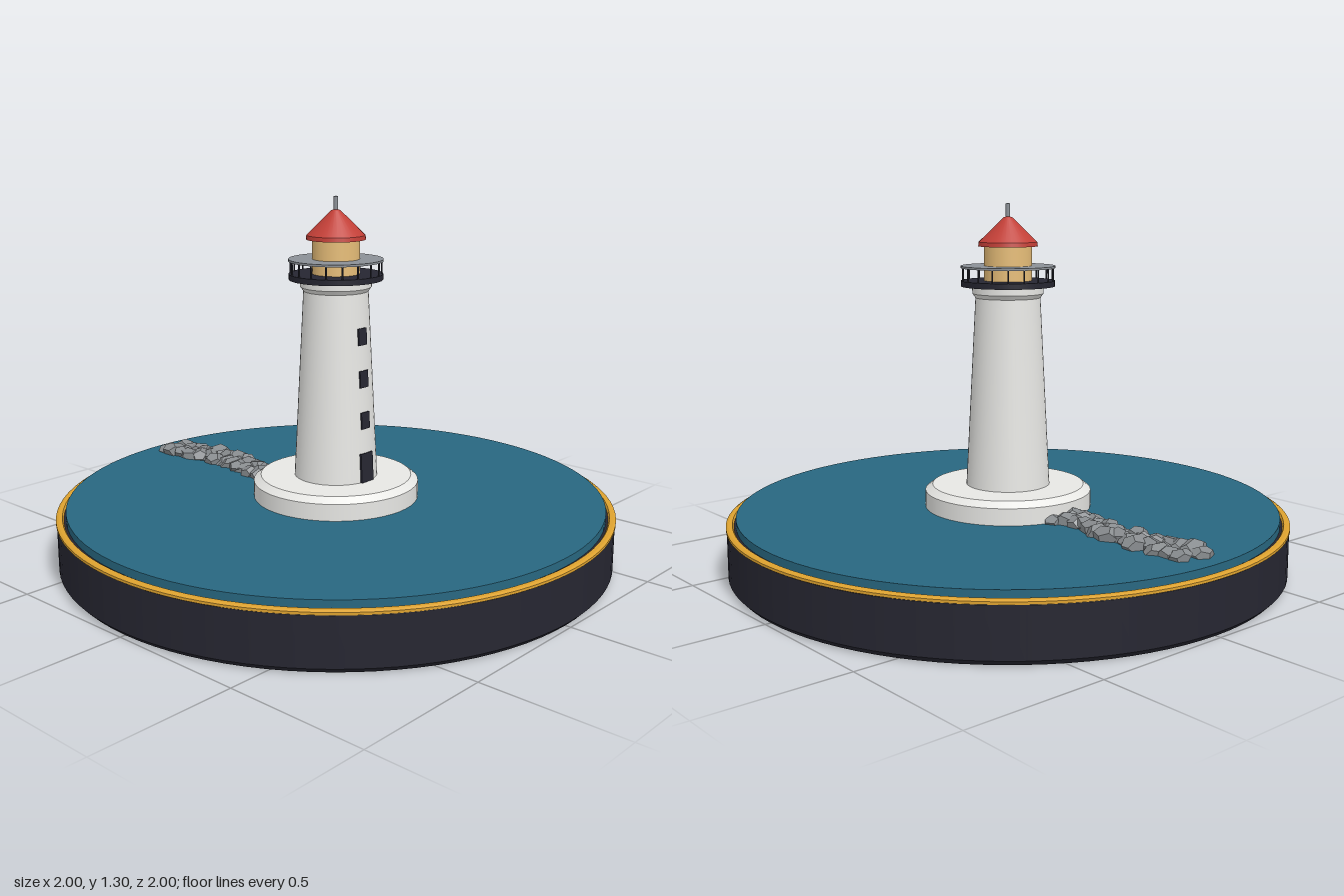
import * as THREE from 'three';

const mat = (name, color, extra = {}) => {
  const m = new THREE.MeshStandardMaterial({ color, ...extra });
  m.name = name;
  return m;
};

export function createModel() {
  const model = new THREE.Group();
  model.name = 'lighthouseDisplay';
  const M = {
    dark: mat('darkNavy', 0x262631),
    gold: mat('goldTrim', 0xdda22f),
    sea: mat('seaBlue', 0x286780),
    white: mat('whitewash', 0xe9e9e6),
    steel: mat('steelGrey', 0x8b9096),
    glow: mat('lanternAmber', 0xe6bd78),
    red: mat('roofRed', 0xc23f37),
    rock: mat('rockGrey', 0x878b8e, { flatShading: true }),
  };

  const add = (name, geo, material, parent = model) => {
    const mesh = new THREE.Mesh(geo, material);
    mesh.name = name;
    parent.add(mesh);
    return mesh;
  };

  // Turned solid; inner profile points are doubled so that edges stay sharp
  const turned = (name, profile, material, segments = 48) => {
    const pts = [];
    profile.forEach(([r, y], i) => {
      pts.push(new THREE.Vector2(r, y));
      if (i > 0 && i < profile.length - 1) pts.push(new THREE.Vector2(r, y));
    });
    return add(name, new THREE.LatheGeometry(pts, segments), material);
  };

  // Round stand, gold rim and water
  turned('stand', [[0, 0], [0.98, 0], [0.997, 0.018], [0.997, 0.185], [0.99, 0.192], [0, 0.192]], M.dark, 96);
  turned('goldRim', [[0.972, 0.19], [1, 0.187], [1, 0.196], [0.992, 0.2], [0.978, 0.2], [0.972, 0.19]], M.gold, 96);
  turned('sea', [[0.965, 0.19], [0.965, 0.22], [0, 0.22]], M.sea, 96);

  // Foundation and tapered tower with a flared collar
  turned('foundation', [[0.298, 0.215], [0.298, 0.28], [0.272, 0.3], [0, 0.3]], M.white);
  turned('tower', [[0.15, 0.295], [0.115, 0.97], [0.126, 0.985], [0.126, 1.012]], M.white);

  // Door and windows lie on the sloping +x side of the tower
  const lean = Math.atan(0.035 / 0.675);
  const opening = (name, y, w, h) => {
    const r = 0.15 - (y - 0.295) * Math.tan(lean);
    const plate = add(name, new THREE.BoxGeometry(0.009, h, w), M.dark);
    plate.position.set(r - 0.001, y, 0);
    plate.rotation.z = lean;
  };
  opening('door', 0.352, 0.062, 0.105);
  [0.522, 0.67, 0.82].forEach((y, i) => opening('window' + (i + 1), y, 0.042, 0.06));

  // Gallery deck, posts and top plate
  turned('galleryDeck', [[0, 1.01], [0.166, 1.01], [0.166, 1.03], [0, 1.03]], M.dark);
  const railing = new THREE.Group();
  railing.name = 'galleryRailing';
  model.add(railing);
  const postGeo = new THREE.CylinderGeometry(0.003, 0.003, 0.05, 6);
  for (let i = 0; i < 18; i++) {
    const a = (i / 18) * Math.PI * 2;
    add('railPost', postGeo, M.dark, railing).position.set(Math.cos(a) * 0.16, 1.052, Math.sin(a) * 0.16);
  }
  turned('railPlate', [[0, 1.074], [0.167, 1.074], [0.167, 1.082], [0, 1.082]], M.steel);

  // Lantern room, roof and finial
  turned('lantern', [[0.084, 1.03], [0.084, 1.155]], M.glow, 32);
  turned('roof', [[0, 1.15], [0.105, 1.15], [0.103, 1.165], [0.016, 1.25], [0, 1.255]], M.red, 32);
  turned('finial', [[0.008, 1.24], [0.008, 1.298], [0, 1.3]], M.steel, 12);

  // Breakwater: flattened faceted rocks in a winding row out to sea
  let seed = 7;
  const rand = () => (seed = (seed * 16807) % 2147483647) / 2147483647;
  const breakwater = new THREE.Group();
  breakwater.name = 'breakwater';
  model.add(breakwater);
  const rockGeo = new THREE.DodecahedronGeometry(1, 0);
  const count = 28;
  for (let i = 0; i < count; i++) {
    const t = i / (count - 1);
    const rock = add('rock', rockGeo, M.rock, breakwater);
    const side = i % 2 ? 1 : -1;
    rock.position.set(-0.29 - t * 0.59, 0.222 + rand() * 0.008, side * (0.012 + rand() * 0.03) + Math.sin(t * 9) * 0.008);
    rock.scale.set(0.042 + rand() * 0.02, 0.025 + rand() * 0.012, 0.033 + rand() * 0.013);
    rock.rotation.set((rand() - 0.5) * 0.5, rand() * Math.PI * 2, (rand() - 0.5) * 0.4);
  }
  return model;
}
